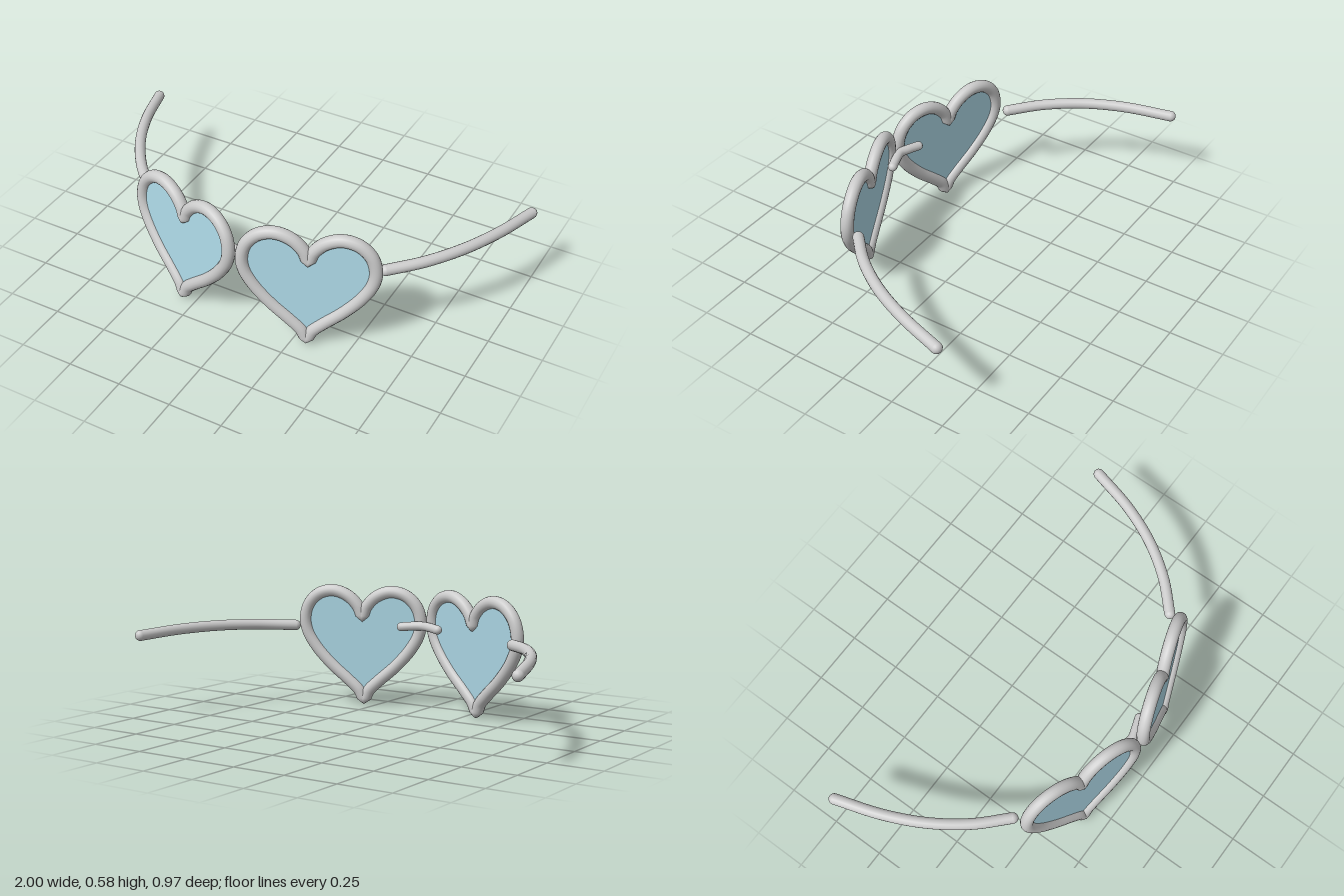
import * as THREE from 'three';

const V = (x, y, z = 0) => new THREE.Vector3(x, y, z);

export function createModel() {
  const model = new THREE.Group();
  model.name = 'heartGlasses';
  const frameMat = new THREE.MeshStandardMaterial({ color: 0xcccccc });
  const lensMat = new THREE.MeshStandardMaterial({ color: 0xadd8e6 });

  function add(parent, name, geometry, material) {
    const mesh = new THREE.Mesh(geometry, material);
    mesh.name = name;
    parent.add(mesh);
    return mesh;
  }

  // Round bar along a smooth path, with ball ends
  function bar(name, points, radius) {
    const group = new THREE.Group();
    group.name = name;
    const curve = new THREE.CatmullRomCurve3(points);
    add(group, name + 'Rod', new THREE.TubeGeometry(curve, 40, radius, 16), frameMat);
    for (const p of [points[0], points[points.length - 1]]) {
      add(group, name + 'End', new THREE.SphereGeometry(radius, 16, 12), frameMat).position.copy(p);
    }
    model.add(group);
  }

  // Heart centreline: one half from tip to notch, then mirrored; y is measured from the lens centre
  const midY = 0.42;
  const half = [
    [0, 0.035], [0.026, 0.078], [0.075, 0.125], [0.16, 0.2], [0.235, 0.285], [0.277, 0.36],
    [0.286, 0.425], [0.265, 0.495], [0.212, 0.545], [0.14, 0.56], [0.07, 0.535], [0.022, 0.487], [0, 0.44],
  ];
  const right = half.map(([x, y]) => V(x, y - midY));
  const left = half.slice(1, -1).reverse().map(([x, y]) => V(-x, y - midY));
  const heart = new THREE.CatmullRomCurve3([...right, ...left], true, 'centripetal');

  const rimGeometry = new THREE.TubeGeometry(heart, 160, 0.029, 16, true);
  const lensShape = new THREE.Shape(heart.getSpacedPoints(120).slice(0, -1).map(p => new THREE.Vector2(p.x, p.y)));
  const lensGeometry = new THREE.ExtrudeGeometry(lensShape, { depth: 0.012, bevelEnabled: false });
  lensGeometry.translate(0, 0, -0.006);

  for (const side of [1, -1]) {
    const label = side > 0 ? 'left' : 'right';

    // Heart front, swept back and leaning slightly
    const eye = new THREE.Group();
    eye.name = label + 'Eye';
    eye.position.set(side * 0.305, midY, 0.363);
    eye.rotation.set(-0.064, side * 0.311, 0, 'YXZ');
    add(eye, label + 'Rim', rimGeometry, frameMat);
    add(eye, label + 'Lens', lensGeometry, lensMat);
    model.add(eye);

    // Outward-bowed temple arm
    bar(label + 'Temple', [
      V(side * 0.59, 0.392, 0.208), V(side * 0.715, 0.4, 0.085), V(side * 0.825, 0.404, -0.07),
      V(side * 0.91, 0.401, -0.25), V(side * 0.976, 0.39, -0.462),
    ], 0.025);
  }

  // Nose bridge behind the lenses
  bar('bridge', [
    V(-0.1, 0.4, 0.385), V(-0.05, 0.405, 0.402), V(0, 0.407, 0.415), V(0.05, 0.405, 0.402), V(0.1, 0.4, 0.385),
  ], 0.021);

  return model;
}
